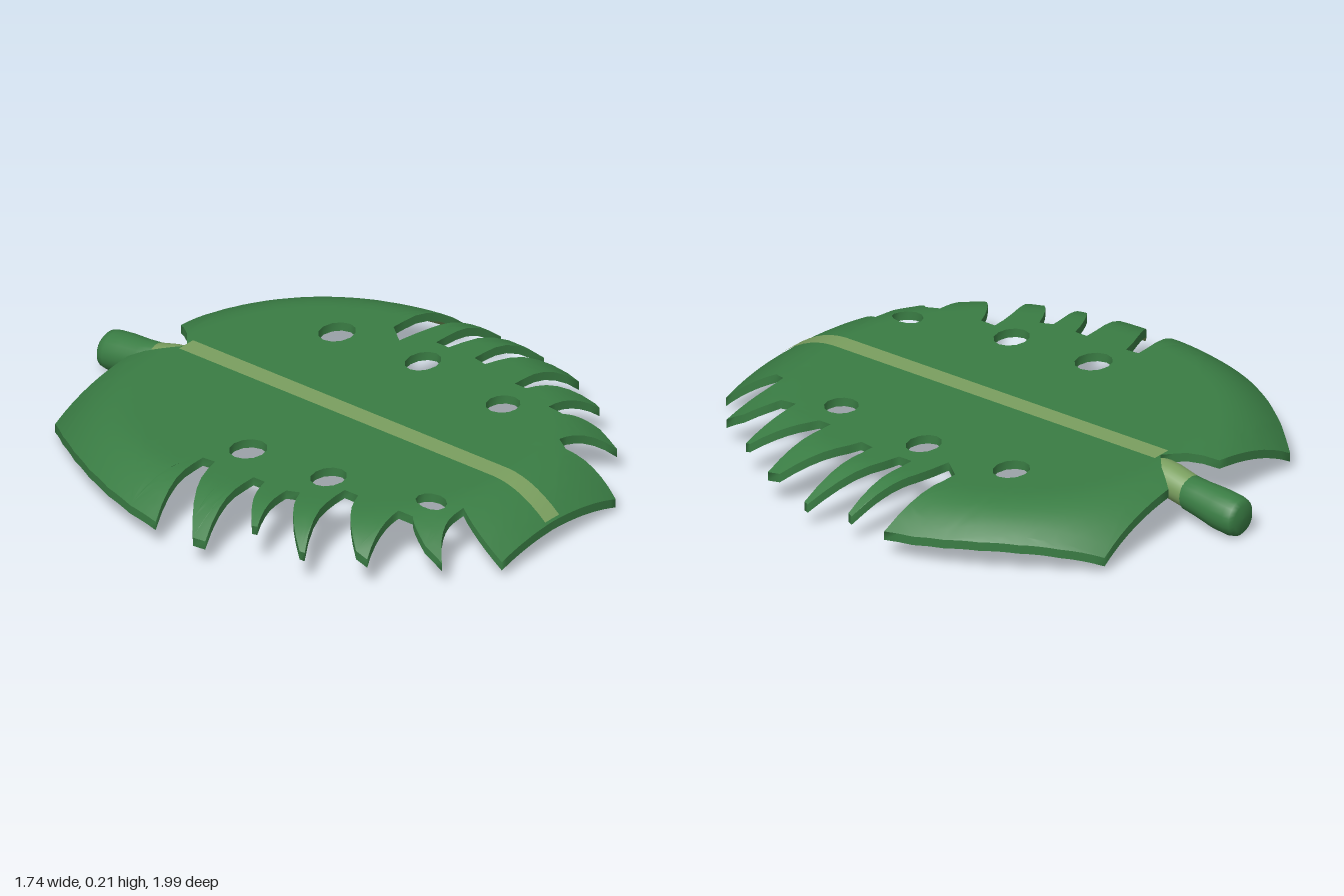
import * as THREE from 'three';

const green = new THREE.MeshStandardMaterial({ color: 0x3a7d44 });
green.name = 'leaf green';
const pale = new THREE.MeshStandardMaterial({ color: 0x7a9f5f });
pale.name = 'pale green';

const THICK = 0.032, MAX_EDGE = 0.06;

// Top surface of the blade: flat in the middle, drooping towards the edge
function height(x, z) {
  const r = (Math.abs(x / 0.88) ** 2.2 + Math.abs(z / (z > 0 ? 0.99 : 0.9)) ** 2.2) ** (1 / 2.2);
  return 0.21 - 1.8 * Math.max(0, r - 0.75) ** 2;
}

// Fingers: upper root x, z, tip x, z, tip height, lower root x, z
const leftFingers = [
  [0.49, -0.11, 0.865, 0.015, 0.018, 0.56, -0.005],
  [0.56, 0.05, 0.865, 0.205, 0.018, 0.56, 0.165],
  [0.55, 0.22, 0.79, 0.385, 0.055, 0.51, 0.385],
  [0.51, 0.435, 0.68, 0.6, 0.022, 0.46, 0.575],
  [0.46, 0.64, 0.535, 0.74, 0.08, 0.32, 0.74],
];
const rightFingers = [
  [0.56, -0.05, 0.87, 0.11, 0.05, 0.56, 0.12],
  [0.56, 0.17, 0.765, 0.285, 0.018, 0.56, 0.265],
  [0.54, 0.31, 0.75, 0.482, 0.018, 0.43, 0.415],
  [0.43, 0.475, 0.64, 0.64, 0.045, 0.42, 0.645],
  [0.41, 0.7, 0.465, 0.8, 0.07, 0.3, 0.79],
];

// Outline of one half of the blade, from the stalk notch to the front
function halfOutline(lobeZ, notch, fingers, frontX) {
  const p = new THREE.Path();
  p.moveTo(0, -0.64);
  p.lineTo(0.07, -0.7);
  p.lineTo(0.14, -0.785);
  p.lineTo(0.51, -0.8);
  p.quadraticCurveTo(0.83, -0.45, 0.87, lobeZ);
  p.quadraticCurveTo(0.72, notch[1], notch[0], notch[1]);
  for (const [ax, az, tx, tz, h, bx, bz] of fingers) {
    p.lineTo(ax, az);
    p.quadraticCurveTo(ax + 0.6 * (tx - ax), az + 0.25 * (tz - az), tx, tz);
    p.lineTo(tx - 0.005, tz + h);
    p.quadraticCurveTo((tx + bx) / 2, bz, bx, bz);
  }
  p.lineTo(frontX - 0.03, 0.79);
  p.quadraticCurveTo(frontX + 0.02, 0.88, frontX, 0.985);
  p.quadraticCurveTo(frontX - 0.06, 0.985, 0, 0.98);
  return p.getPoints(6);
}

function bladeShape() {
  const left = halfOutline(-0.13, [0.55, -0.185], leftFingers, 0.325);
  const right = halfOutline(-0.055, [0.565, -0.1], rightFingers, 0.28)
    .map((v) => new THREE.Vector2(-v.x, v.y)).reverse().slice(1, -1);
  const shape = new THREE.Shape([...left, ...right]);
  // Holes: x, z, radii
  for (const [x, z, rx, rz] of [
    [0.4, -0.31, 0.072, 0.06], [0.43, 0.045, 0.072, 0.056], [0.375, 0.445, 0.063, 0.058],
    [-0.42, -0.02, 0.072, 0.062], [-0.395, 0.315, 0.07, 0.058], [-0.3, 0.69, 0.047, 0.058],
  ]) shape.holes.push(new THREE.Path().absellipse(x, z, rx, rz, 0, Math.PI * 2));
  return shape;
}

// Triangulate the outline, halving long edges so that it can bend
function tessellate(shape) {
  const flat = new THREE.ShapeGeometry(shape, 6);
  const pos = flat.attributes.position, idx = flat.index.array;
  const points = [], lookup = new Map(), faces = [];
  const vertex = (x, z) => {
    const key = x.toFixed(5) + ',' + z.toFixed(5);
    if (!lookup.has(key)) lookup.set(key, points.push([x, z]) - 1);
    return lookup.get(key);
  };
  const length = (a, b) => Math.hypot(points[a][0] - points[b][0], points[a][1] - points[b][1]);
  const split = (a, b, c) => {
    const ab = length(a, b), bc = length(b, c), ca = length(c, a);
    if (bc > ab && bc >= ca) return split(b, c, a);
    if (ca > ab && ca > bc) return split(c, a, b);
    if (ab <= MAX_EDGE) return faces.push([a, b, c]);
    const m = vertex((points[a][0] + points[b][0]) / 2, (points[a][1] + points[b][1]) / 2);
    split(a, m, c);
    split(m, b, c);
  };
  const ids = Array.from({ length: pos.count }, (_, i) => vertex(pos.getX(i), pos.getY(i)));
  for (let i = 0; i < idx.length; i += 3) split(ids[idx[i]], ids[idx[i + 1]], ids[idx[i + 2]]);
  return { points, faces };
}

function mesh(name, geometry, material) {
  const m = new THREE.Mesh(geometry, material);
  m.name = name;
  return m;
}

function surface(positions, index) {
  const g = new THREE.BufferGeometry();
  g.setAttribute('position', new THREE.Float32BufferAttribute(positions, 3));
  g.setIndex(index);
  g.computeVertexNormals();
  return g;
}

function buildBlade() {
  const { points, faces } = tessellate(bladeShape());
  const n = points.length;
  const top = points.flatMap(([x, z]) => [x, height(x, z), z]);
  const bottom = points.flatMap(([x, z]) => [x, height(x, z) - THICK, z]);
  // The rim joins both skins along every edge used only once
  const edges = new Set(), rim = [];
  for (const [a, b, c] of faces) for (const e of [[a, b], [b, c], [c, a]]) edges.add(e.join());
  for (const e of edges) {
    const [a, b] = e.split(',').map(Number);
    if (!edges.has(b + ',' + a)) rim.push(a, b, b + n, a, b + n, a + n);
  }
  const blade = new THREE.Group();
  blade.name = 'blade';
  blade.add(
    mesh('bladeTop', surface(top, faces.flatMap(([a, b, c]) => [a, c, b])), green),
    mesh('bladeUnderside', surface(bottom, faces.flat()), pale),
    mesh('bladeRim', surface([...top, ...bottom], rim), green),
  );
  return blade;
}

// Round bar along z through rings of [z, centre y, radius]
function bar(rings) {
  const g = new THREE.LatheGeometry(rings.map(([z, , r]) => new THREE.Vector2(r, z)), 24);
  g.rotateX(Math.PI / 2);
  const p = g.attributes.position;
  for (let i = 0; i < p.count; i++) p.setY(i, p.getY(i) + rings[i % rings.length][1]);
  g.computeVertexNormals();
  return g;
}

export function createModel() {
  const model = new THREE.Group();
  model.name = 'leaf';
  model.add(buildBlade());

  // Stripe along the middle of the blade
  const stripe = new THREE.PlaneGeometry(0.074, 1.62, 2, 50);
  stripe.rotateX(-Math.PI / 2).translate(0, 0, 0.165);
  const p = stripe.attributes.position;
  for (let i = 0; i < p.count; i++) p.setY(i, height(p.getX(i), p.getZ(i)) + 0.004);
  stripe.computeVertexNormals();
  model.add(mesh('midribStripe', stripe, pale));

  // Rib under the blade, tapering forwards
  model.add(mesh('midrib', bar([
    [-0.78, 0.108, 0.06], [-0.7, 0.128, 0.062], [-0.62, 0.142, 0.06], [-0.4, 0.155, 0.049],
    [0, 0.162, 0.04], [0.4, 0.168, 0.03], [0.7, 0.172, 0.018], [0.78, 0.172, 0.001],
  ]), pale));

  // Stalk with a rounded, closed end
  model.add(mesh('stalk', bar([
    [-1, 0.077, 0.0001], [-0.998, 0.077, 0.05], [-0.985, 0.078, 0.066], [-0.96, 0.08, 0.072],
    [-0.9, 0.087, 0.072], [-0.83, 0.098, 0.065], [-0.77, 0.108, 0.062], [-0.769, 0.108, 0.05],
  ]), green));
  return model;
}
